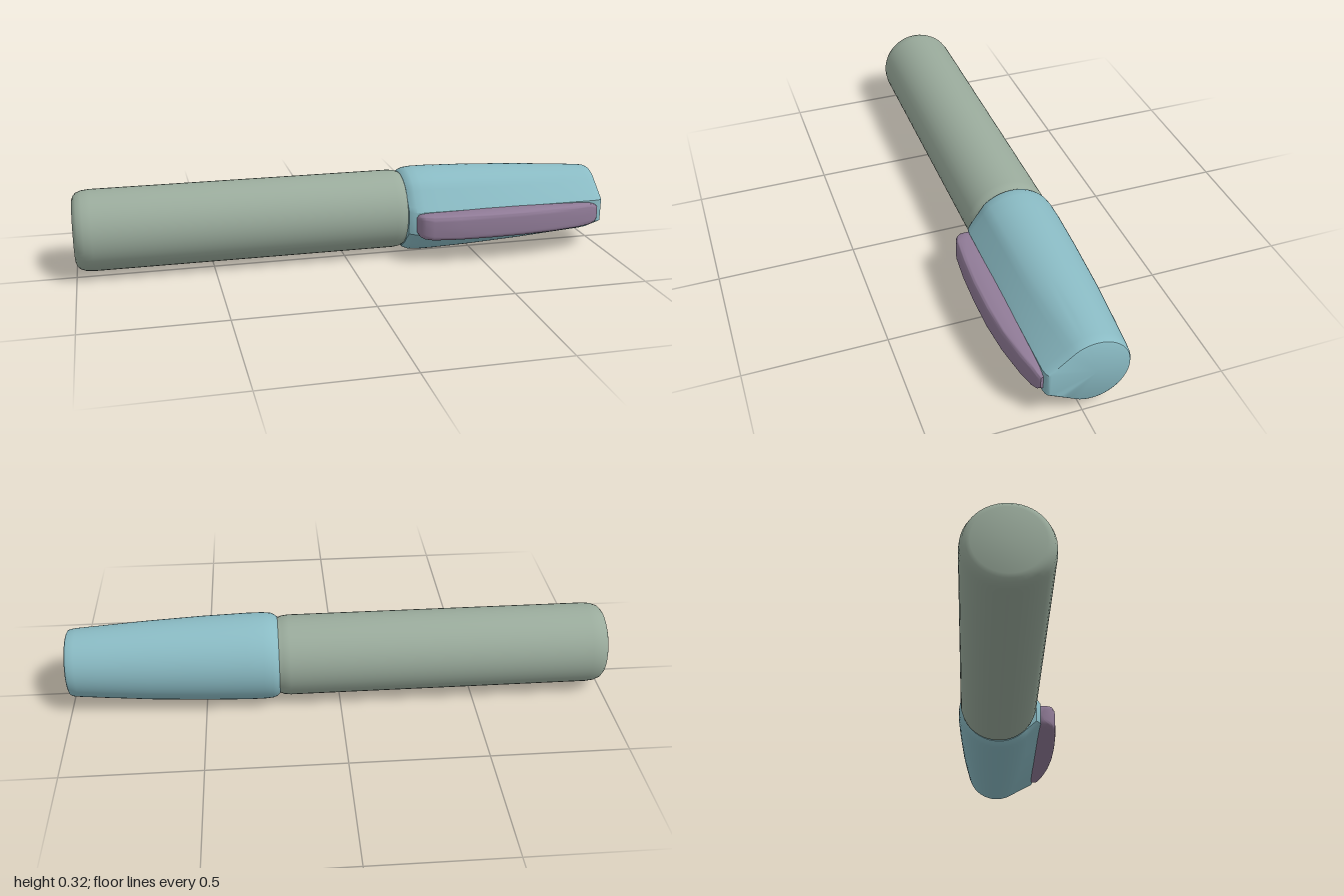
import * as THREE from 'three';
import { toCreasedNormals } from 'three/addons/utils/BufferGeometryUtils.js';

// Skins closed [y, z] rings placed along x and closes both ends
function loft(xs, rings, crease) {
  const pos = [], idx = [], n = rings[0].length, last = rings.length - 1;
  rings.forEach((ring, i) => ring.forEach(([y, z]) => pos.push(xs[i], y, z)));
  for (let i = 0; i < last; i++) {
    for (let j = 0; j < n; j++) {
      const k = (j + 1) % n, a = i * n, b = a + n;
      idx.push(a + j, b + j, a + k, b + j, b + k, a + k);
    }
  }
  for (const e of [0, last]) {
    const c = pos.length / 3;
    const mean = axis => rings[e].reduce((s, p) => s + p[axis], 0) / n;
    pos.push(xs[e], mean(0), mean(1));
    for (let j = 0; j < n; j++) {
      const a = e * n + j, b = e * n + (j + 1) % n;
      if (e === 0) idx.push(c, a, b); else idx.push(c, b, a);
    }
  }
  const g = new THREE.BufferGeometry();
  g.setAttribute('position', new THREE.Float32BufferAttribute(pos, 3));
  g.setIndex(idx);
  return toCreasedNormals(g, crease);
}

// Circle drawn out to a narrow flat ridge at the front
function teardrop(cy, cz, r, tipZ) {
  const ring = [], half = 0.043, tipY = 0.152, dz = tipZ - cz;
  const tangent = Math.atan2(half, dz) + Math.acos(Math.min(1, r / Math.hypot(dz, half)));
  const start = Math.max(0.85, tangent), arc = 40, side = 5;
  const on = a => [cy + r * Math.sin(a), cz + r * Math.cos(a)];
  const mix = (p, q, t) => [p[0] + (q[0] - p[0]) * t, p[1] + (q[1] - p[1]) * t];
  const top = [tipY + half, tipZ], bottom = [tipY - half, tipZ];
  for (let i = 0; i < side; i++) ring.push(mix(top, on(start), i / side));
  for (let i = 0; i <= arc; i++) ring.push(on(start + (2 * Math.PI - 2 * start) * i / arc));
  for (let i = 1; i <= side; i++) ring.push(mix(on(-start), bottom, i / side));
  return ring;
}

// Rounded rectangle spanning y0..y1 and z0..z1
function softRect(y0, y1, z0, z1) {
  const ring = [], n = 32;
  const pw = v => Math.sign(v) * Math.pow(Math.abs(v), 0.35);
  for (let i = 0; i < n; i++) {
    const a = 2 * Math.PI * i / n;
    ring.push([(y0 + y1) / 2 + (y1 - y0) / 2 * pw(Math.sin(a)),
      (z0 + z1) / 2 + (z1 - z0) / 2 * pw(Math.cos(a))]);
  }
  return ring;
}

export function createModel() {
  const group = new THREE.Group();
  const add = (name, geometry, color) => {
    const mesh = new THREE.Mesh(geometry, new THREE.MeshStandardMaterial({ color }));
    mesh.name = name;
    group.add(mesh);
    return mesh;
  };

  // Barrel with a rounded butt, narrowing where it enters the cap
  const profile = [[0, -1], [0.115, -1], [0.128, -0.995], [0.139, -0.985], [0.147, -0.965],
    [0.15, -0.935], [0.15, 0.185], [0.147, 0.21], [0.139, 0.228], [0.139, 0.26], [0, 0.26]];
  const barrel = new THREE.LatheGeometry(profile.map(p => new THREE.Vector2(...p)), 48);
  barrel.rotateZ(-Math.PI / 2);
  add('barrel', toCreasedNormals(barrel, 0.7), 0x9aab9c).position.set(0, 0.165, -0.044);

  // Cap: x, radius, centre z, ridge z
  const cap = [
    [0.225, 0.143, -0.043, 0.108], [0.235, 0.153, -0.042, 0.116], [0.25, 0.159, -0.041, 0.126],
    [0.28, 0.162, -0.04, 0.13], [0.34, 0.162, -0.04, 0.13], [0.5, 0.157, -0.039, 0.13],
    [0.7, 0.147, -0.038, 0.13], [0.87, 0.135, -0.036, 0.13], [0.965, 0.128, -0.034, 0.13],
    [0.988, 0.125, -0.034, 0.126], [0.997, 0.121, -0.033, 0.12], [1, 0.115, -0.033, 0.113],
  ];
  add('cap', loft(cap.map(c => c[0]),
    cap.map(([, r, z, tip]) => teardrop(0.1635, z, r, tip)), 0.6), 0x8abbc4);

  // Pocket clip bowed along the ridge: x, bottom, top, outer z
  const clip = [
    [0.25, 0.122, 0.178, 0.142], [0.257, 0.11, 0.188, 0.165], [0.27, 0.104, 0.192, 0.178],
    [0.3, 0.1, 0.194, 0.188], [0.4, 0.098, 0.195, 0.197], [0.52, 0.098, 0.197, 0.201],
    [0.65, 0.099, 0.197, 0.2], [0.77, 0.1, 0.195, 0.19], [0.88, 0.102, 0.192, 0.171],
    [0.94, 0.106, 0.189, 0.156], [0.963, 0.113, 0.182, 0.147], [0.975, 0.124, 0.172, 0.137],
  ];
  add('clip', loft(clip.map(c => c[0]),
    clip.map(([, y0, y1, z1]) => softRect(y0, y1, 0.115, z1)), 0.7), 0x917c98);

  return group;
}
